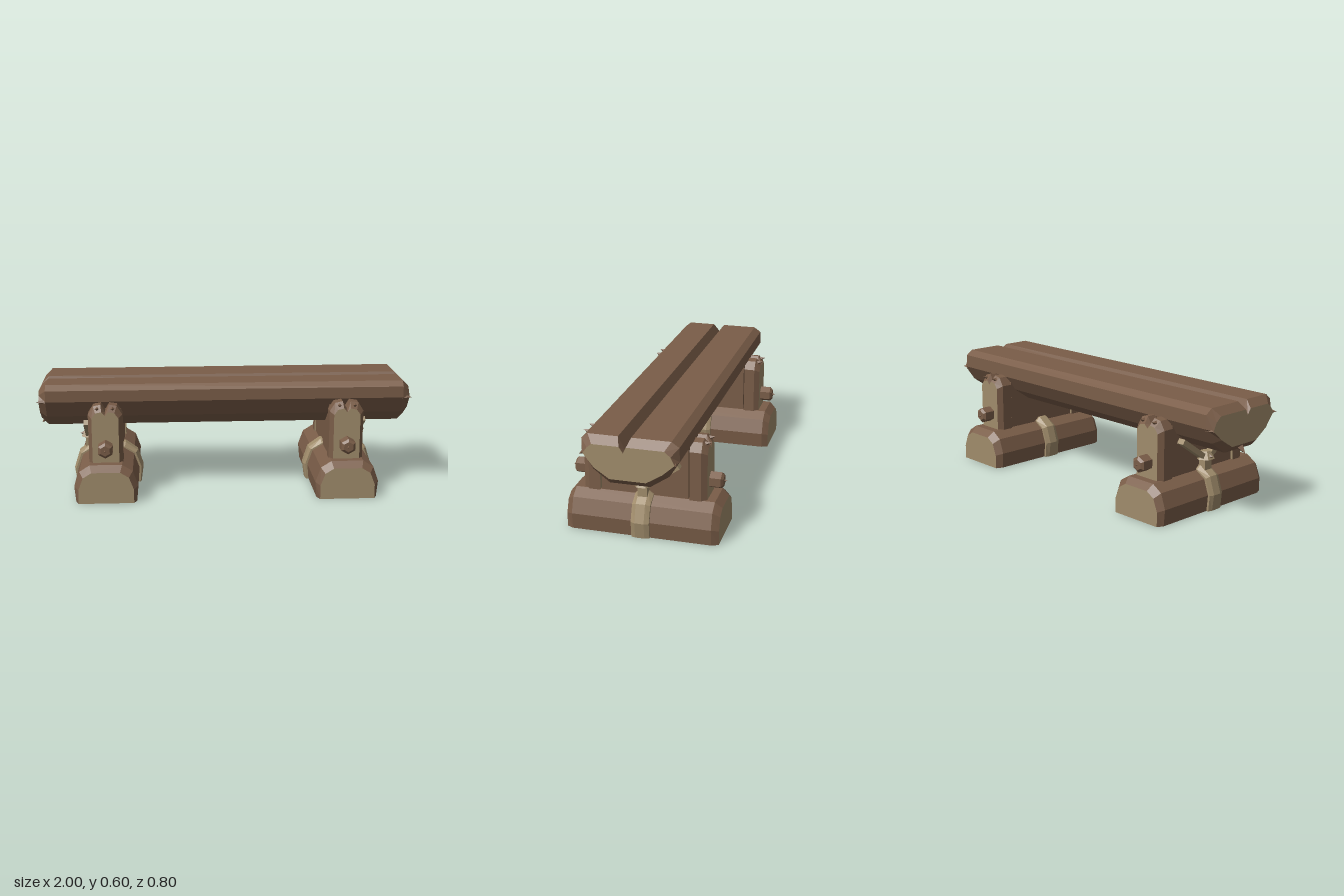
import * as THREE from 'three';

const wood = new THREE.MeshStandardMaterial({ color: 0x7a5d48 });
wood.name = 'brownBark';
const cut = new THREE.MeshStandardMaterial({ color: 0xa08c6b });
cut.name = 'paleCutWood';

// Lofts rings of counter-clockwise [x, y] points along z; sides are group 0, caps group 1
function loft(rings) {
  const pos = [];
  const put = (ring, i) => pos.push(ring.pts[i][0], ring.pts[i][1], ring.z);
  for (let r = 0; r < rings.length - 1; r++) {
    const a = rings[r], b = rings[r + 1], n = a.pts.length;
    for (let i = 0; i < n; i++) {
      const j = (i + 1) % n;
      put(a, i); put(a, j); put(b, j);
      put(a, i); put(b, j); put(b, i);
    }
  }
  const sideCount = pos.length / 3;
  const first = rings[0], last = rings[rings.length - 1];
  const tris = (ring) => THREE.ShapeUtils.triangulateShape(ring.pts.map((p) => new THREE.Vector2(...p)), []);
  for (const [a, b, c] of tris(first)) { put(first, a); put(first, c); put(first, b); }
  for (const [a, b, c] of tris(last)) { put(last, a); put(last, b); put(last, c); }
  const g = new THREE.BufferGeometry();
  g.setAttribute('position', new THREE.Float32BufferAttribute(pos, 3));
  g.addGroup(0, sideCount, 0);
  g.addGroup(sideCount, pos.length / 3 - sideCount, 1);
  g.computeVertexNormals();
  return g;
}

// Completes a symmetric profile from its right half, listed bottom to top
const mirror = (half) => [...half, ...half.filter((p) => p[0] > 0).reverse().map(([x, y]) => [-x, y])];

function add(parent, name, geometry, material, x = 0, y = 0, z = 0) {
  const m = new THREE.Mesh(geometry, material);
  m.name = name;
  m.position.set(x, y, z);
  parent.add(m);
  return m;
}

function flat(geometry) {
  const g = geometry.toNonIndexed();
  g.computeVertexNormals();
  return g;
}

// Small wooden spike pointing along dir
function splinter(parent, x, y, z, dir, r, h) {
  const m = add(parent, 'splinter', flat(new THREE.ConeGeometry(r, h, 4)), wood, x, y, z);
  m.quaternion.setFromUnitVectors(new THREE.Vector3(0, 1, 0), new THREE.Vector3(...dir).normalize());
}

function createSeat() {
  const seat = new THREE.Group();
  seat.name = 'seat';
  // Half-log with a groove along the top
  const body = [[-0.1, 0.355], [0.1, 0.355], [0.195, 0.42], [0.245, 0.5], [0.243, 0.57], [0.205, 0.597],
    [0.01, 0.597], [-0.02, 0.53], [-0.055, 0.597], [-0.205, 0.597], [-0.237, 0.57], [-0.237, 0.51], [-0.185, 0.42]];
  const end = [[-0.09, 0.39], [0.09, 0.39], [0.17, 0.44], [0.23, 0.495], [0.21, 0.535], [0.18, 0.56],
    [-0.005, 0.56], [-0.02, 0.53], [-0.04, 0.56], [-0.175, 0.56], [-0.198, 0.54], [-0.22, 0.51], [-0.165, 0.44]];
  const log = add(seat, 'seatLog', loft([
    { pts: end, z: -0.988 }, { pts: body, z: -0.95 }, { pts: body, z: 0.95 }, { pts: end, z: 0.988 },
  ]), [wood, cut]);
  log.rotation.y = Math.PI / 2;
  for (const s of [-1, 1]) {
    splinter(seat, s * 0.975, 0.51, 0.225, [s, 0, 0.3], 0.018, 0.05);
    splinter(seat, s * 0.975, 0.495, -0.23, [s, 0, -0.3], 0.018, 0.05);
  }
  splinter(seat, -0.975, 0.36, 0, [-1, -0.9, 0], 0.03, 0.06);
  return seat;
}

// One foot with its uprights; outer ties are on +x
function createSupport() {
  const support = new THREE.Group();

  // Half-round foot
  const foot = mirror([[0.16, 0], [0.168, 0.085], [0.14, 0.165], [0.085, 0.2]]);
  const footEnd = mirror([[0.145, 0], [0.145, 0.075], [0.12, 0.14], [0.075, 0.168]]);
  add(support, 'footLog', loft([
    { pts: footEnd, z: -0.396 }, { pts: foot, z: -0.36 }, { pts: foot, z: 0.36 }, { pts: footEnd, z: 0.393 },
  ]), [wood, cut]);

  // Pale strap around the foot
  const strapEdge = mirror([[0.172, 0], [0.18, 0.085], [0.15, 0.17], [0.09, 0.205]]);
  const strapTop = mirror([[0.178, 0], [0.19, 0.085], [0.16, 0.178], [0.095, 0.225]]);
  add(support, 'strap', loft([
    { pts: strapEdge, z: -0.048 }, { pts: strapTop, z: -0.024 }, { pts: strapTop, z: 0.024 }, { pts: strapEdge, z: 0.046 },
  ]), [cut, cut]);

  // Saddle block under the seat
  add(support, 'saddle', new THREE.BoxGeometry(0.165, 0.29, 0.45), wood, 0, 0.325, 0);

  // Notched uprights with pegs, front and back
  const post = mirror([[0.09, 0.18], [0.09, 0.455], [0.062, 0.5], [0.022, 0.508], [0, 0.47]]);
  const postEnd = mirror([[0.07, 0.18], [0.07, 0.44], [0.05, 0.468], [0.018, 0.475], [0, 0.455]]);
  for (const s of [1, -1]) {
    const side = new THREE.Group();
    side.name = s > 0 ? 'frontUpright' : 'backUpright';
    side.rotation.y = s > 0 ? 0 : Math.PI;
    support.add(side);
    add(side, 'uprightPost', loft([
      { pts: post, z: 0.231 }, { pts: post, z: 0.29 }, { pts: postEnd, z: 0.318 },
    ]), [wood, cut]);
    const peg = add(side, 'peg', flat(new THREE.CylinderGeometry(0.043, 0.043, 0.065, 6)), wood, 0, 0.283, 0.343);
    peg.rotation.x = Math.PI / 2;
    const tip = add(side, 'pegTip', flat(new THREE.CylinderGeometry(0.028, 0.043, 0.012, 6)), wood, 0, 0.283, 0.381);
    tip.rotation.x = Math.PI / 2;
    splinter(side, 0, 0.283, 0.393, [0, 0, 1], 0.008, 0.018);
    for (const x of [-0.04, 0.04]) splinter(side, x, 0.49, 0.31, [0, 0.3, 1], 0.016, 0.04);
  }

  // Forked tie from the strap up to the seat
  add(support, 'tieStem', new THREE.BoxGeometry(0.05, 0.09, 0.05), cut, 0.1, 0.232, 0);
  add(support, 'tieKnot', flat(new THREE.CylinderGeometry(0.025, 0.05, 0.04, 6)), cut, 0.103, 0.28, 0);
  for (const s of [-1, 1]) {
    const arm = add(support, 'tieArm', new THREE.BoxGeometry(0.045, 0.028, 0.21), cut, 0.1, 0.324, s * 0.096);
    arm.rotation.x = -s * 0.6;
  }
  splinter(support, 0.14, 0.275, 0, [1, 0, 0], 0.016, 0.03);
  return support;
}

export function createModel() {
  const bench = new THREE.Group();
  bench.name = 'logBench';
  bench.add(createSeat());
  for (const s of [1, -1]) {
    const support = createSupport();
    support.name = s > 0 ? 'leftSupport' : 'rightSupport';
    support.position.x = s * 0.637;
    support.rotation.y = s > 0 ? 0 : Math.PI;
    bench.add(support);
  }
  return bench;
}
